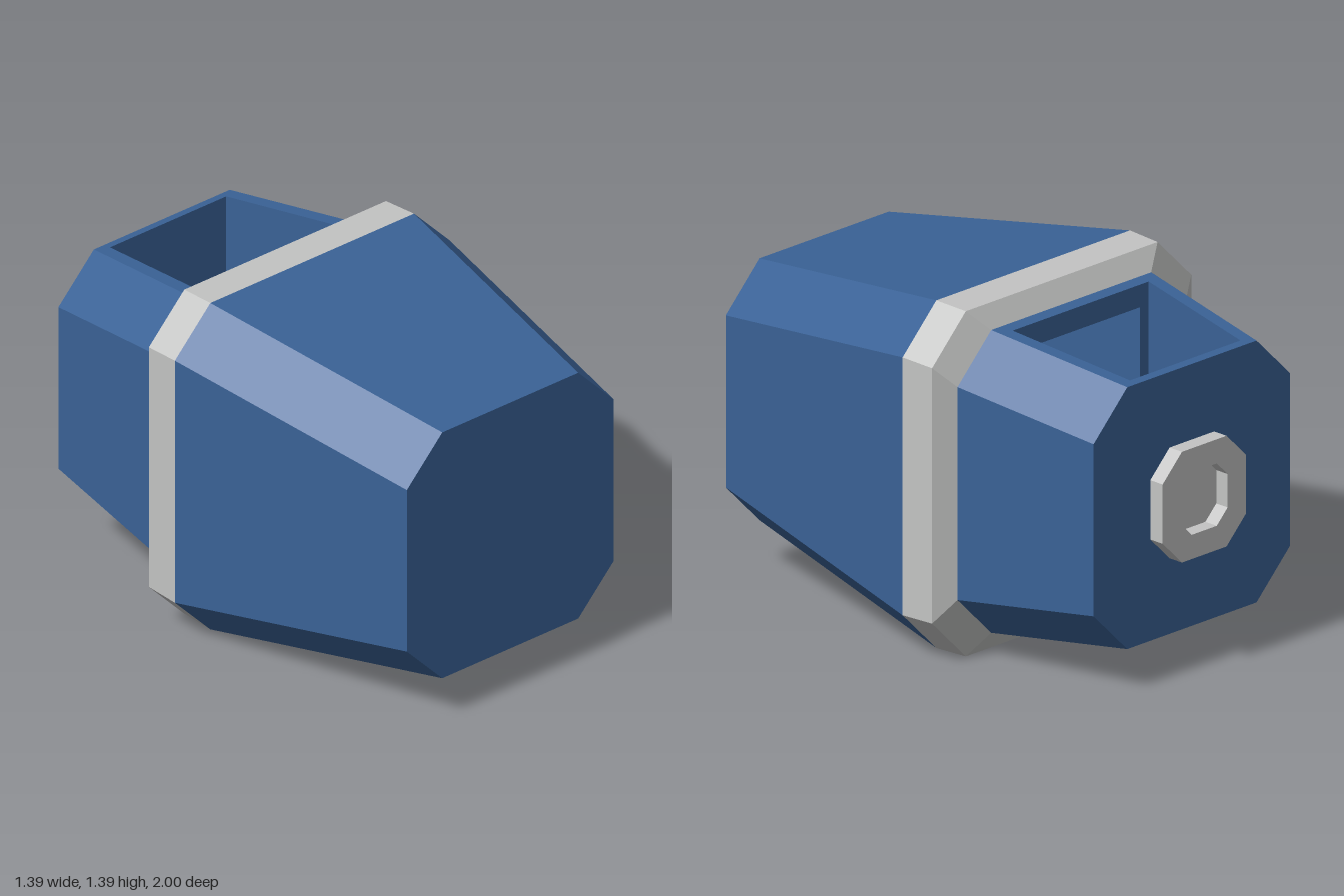
import * as THREE from 'three';

const CY = 0.7; // height of the long axis

// Chamfered square across the z axis, counter-clockwise from the front
function octagon(h, c, z) {
  const k = h - c;
  return [[h, -k], [h, k], [k, h], [-k, h], [-h, k], [-h, -k], [-k, -h], [k, -h]]
    .map(([x, y]) => [x, CY + y, z]);
}

// Quads joining two matching loops, leaving out the listed sides
function strip(a, b, skip = []) {
  const n = a.length;
  return a.map((p, i) => [p, a[(i + 1) % n], b[(i + 1) % n], b[i]])
    .filter((_, i) => !skip.includes(i));
}

const flip = (loop) => [...loop].reverse();

// Flat-sided mesh from a list of convex polygons
function polyMesh(name, material, polys) {
  const pos = [];
  for (const p of polys) {
    for (let i = 1; i < p.length - 1; i++) pos.push(...p[0], ...p[i], ...p[i + 1]);
  }
  const geo = new THREE.BufferGeometry();
  geo.setAttribute('position', new THREE.Float32BufferAttribute(pos, 3));
  geo.computeVertexNormals();
  const mesh = new THREE.Mesh(geo, material);
  mesh.name = name;
  return mesh;
}

export function createModel() {
  const blue = new THREE.MeshStandardMaterial({ color: 0x3a6296 });
  blue.name = 'blue';
  const grey = new THREE.MeshStandardMaterial({ color: 0xc3c4c3 });
  grey.name = 'light grey';
  const group = new THREE.Group();
  group.name = 'taperedHousing';

  // Front body, tapering towards the front face
  const nose = octagon(0.525, 0.18, 1);
  const waist = octagon(0.697, 0.18, -0.1);
  group.add(polyMesh('frontBody', blue, [...strip(waist, nose), nose]));

  // Grey band with a bevelled rear edge
  const bandBack = octagon(0.692, 0.18, -0.25);
  const bandEnd = octagon(0.607, 0.18, -0.3);
  group.add(polyMesh('band', grey, [...strip(bandBack, waist), ...strip(bandEnd, bandBack)]));

  // Rear body: sides 2 and 6 (top and bottom) are open frames
  const tail = octagon(0.525, 0.18, -0.935);
  const rear = [...strip(tail, bandEnd, [2, 6]), flip(tail)];
  const hole = (s) => [[-0.295, -0.9], [-0.363, -0.35], [0.363, -0.35], [0.295, -0.9]]
    .map(([x, z]) => [x, CY + s * (0.607 + (z + 0.3) * 0.129), z]);
  const topHole = hole(1), bottomHole = hole(-1);
  const topRim = [tail[3], bandEnd[3], bandEnd[2], tail[2]];
  const bottomRim = [tail[6], bandEnd[6], bandEnd[7], tail[7]];
  rear.push(...strip(topRim, topHole), ...strip(flip(bottomRim), flip(bottomHole)));
  group.add(polyMesh('rearBody', blue, rear));

  // Walls of the vertical shaft through the rear body
  group.add(polyMesh('shaftWalls', blue, strip(topHole, bottomHole, [1])));

  // Front wall of the shaft, with an opening into the hollow front body
  const wall = [topHole[1], topHole[2], bottomHole[2], bottomHole[1]];
  const opening = (z) => [[-1, 1], [1, 1], [1, -1], [-1, -1]]
    .map(([x, y]) => [x * 0.317, CY + y * 0.51, z]);
  const mouth = opening(-0.35), end = opening(0.9);
  group.add(polyMesh('innerChamber', blue, [...strip(wall, mouth), ...strip(mouth, end), end]));

  // Eight-sided socket on the rear face
  const base = octagon(0.222, 0.103, -0.935);
  const lip = octagon(0.222, 0.103, -1);
  const inner = octagon(0.125, 0.058, -1);
  const floor = octagon(0.125, 0.058, -0.94);
  group.add(polyMesh('rearSocket', grey, [
    ...strip(lip, base), ...strip(inner, lip), ...strip(floor, inner), flip(floor),
  ]));

  return group;
}
